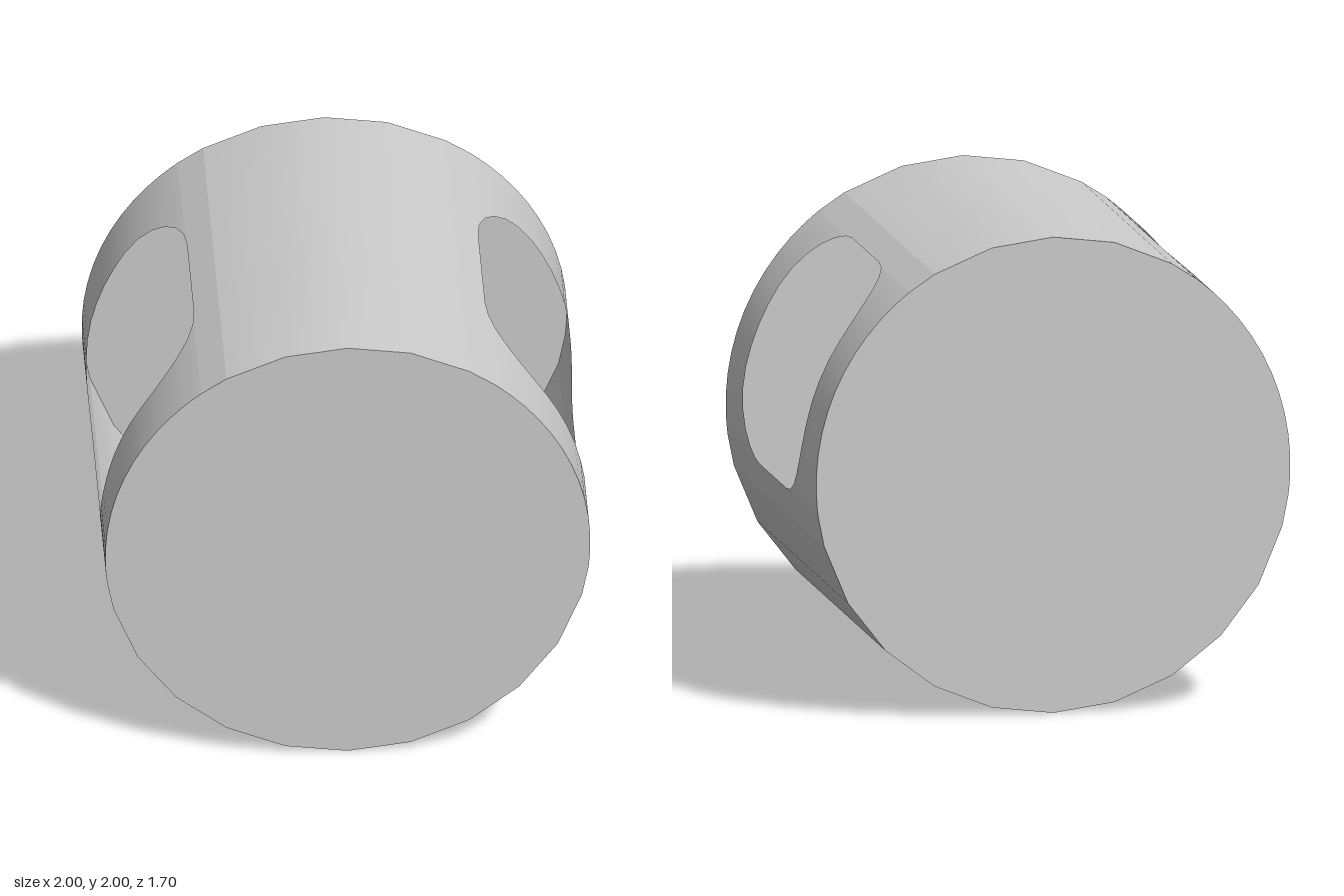
import * as THREE from 'three';

const HALF = 0.85;                       // half length of the drum
const WIN = { low: -7.5, high: 53.1, half: 0.57, cornerA: 20, cornerZ: 0.32 };

const grey = new THREE.MeshStandardMaterial({ color: 0xcccccc, side: THREE.DoubleSide });
grey.name = 'light grey';

const range = (from, to, step) => {
  const n = Math.round((to - from) / step);
  return Array.from({ length: n + 1 }, (_, i) => from + (i * (to - from)) / n);
};
const onDrum = (deg) => {
  const a = THREE.MathUtils.degToRad(deg);
  return [Math.cos(a), 1 + Math.sin(a)];
};

// Rows run round the drum; each row is { a: angle, w: half width of the opening, open }.
// "open" leaves the middle strip out between this row and the next.
function wall(name, rows) {
  const pos = [], index = [];
  rows.forEach(({ a, w }) => {
    const [x, y] = onDrum(a);
    [-HALF, -w, w, HALF].forEach((z) => pos.push(x, y, z));
  });
  for (let r = 0; r < rows.length - 1; r++) {
    for (let c = 0; c < 3; c++) {
      if (c === 1 && rows[r].open) continue;
      const p = r * 4 + c;
      index.push(p, p + 4, p + 5, p, p + 5, p + 1);
    }
  }
  const g = new THREE.BufferGeometry();
  g.setAttribute('position', new THREE.Float32BufferAttribute(pos, 3));
  g.setIndex(index);
  g.computeVertexNormals();
  const mesh = new THREE.Mesh(g, grey);
  mesh.name = name;
  return mesh;
}

// Side wall rows around the rounded window opening
function windowRows() {
  const rows = [{ a: -15, w: WIN.half - WIN.cornerZ }];
  const corner = range(0, 90, 15).map((d) => {
    const t = THREE.MathUtils.degToRad(d);
    return {
      da: WIN.cornerA * (1 - Math.cos(t)),
      w: WIN.half - WIN.cornerZ * (1 - Math.sin(t)),
    };
  });
  corner.forEach(({ da, w }) => rows.push({ a: WIN.low + da, w }));
  range(WIN.low + WIN.cornerA, WIN.high - WIN.cornerA, 5).slice(1, -1)
    .forEach((a) => rows.push({ a, w: WIN.half }));
  corner.slice().reverse().forEach(({ da, w }) => rows.push({ a: WIN.high - da, w }));
  rows.push({ a: 60, w: WIN.half - WIN.cornerZ });
  return rows;
}

// Marks the strips between the first and last window edge as open
function withOpening(rows) {
  return rows.map((r, i) => ({ ...r, open: i > 0 && i < rows.length - 2 }));
}

export function createModel() {
  const model = new THREE.Group();
  model.name = 'windowedDrum';

  const left = windowRows();
  const right = left.map(({ a, w }) => ({ a: 180 - a, w })).reverse();
  const top = range(60, 120, 15).map((a) => ({ a, w: 0.25 }));
  const bottom = range(195, 345, 15).map((a) => ({ a, w: 0.25 }));

  // Thin curved shell
  model.add(
    wall('leftWindowWall', withOpening(left)),
    wall('topWall', top),
    wall('rightWindowWall', withOpening(right)),
    wall('bottomWall', bottom),
  );

  // Flat end caps, following the outline of the shell
  const outline = [left, top, right, bottom].flatMap((rows) =>
    rows.slice(0, -1).map(({ a }) => new THREE.Vector2(...onDrum(a))));
  const capGeometry = new THREE.ShapeGeometry(new THREE.Shape(outline));
  [['frontCap', 1], ['backCap', -1]].forEach(([name, side]) => {
    const cap = new THREE.Mesh(capGeometry, grey);
    cap.name = name;
    cap.position.z = side * HALF;
    if (side < 0) cap.rotation.y = Math.PI;
    model.add(cap);
  });

  return model;
}
